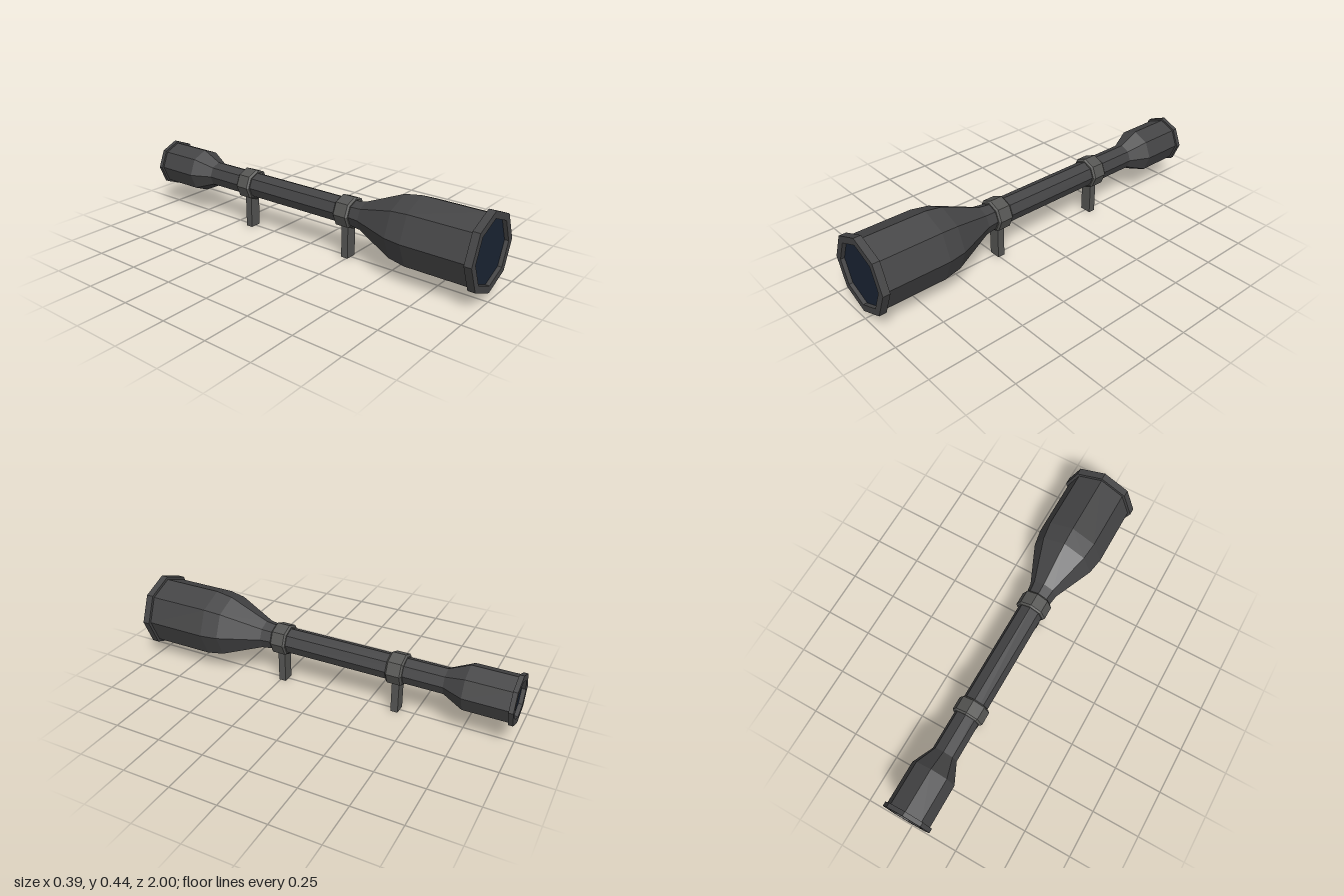
import * as THREE from 'three';

const AXIS_Y = 0.24; // height of the optical axis

const material = (color) => new THREE.MeshStandardMaterial({ color, flatShading: true });

// Eight-sided turned part along z; profile is [radius, z] from back to front
function turned(name, profile, mat) {
  const points = profile.map(([r, z]) => new THREE.Vector2(r, z));
  const geometry = new THREE.LatheGeometry(points, 8).rotateX(Math.PI / 2);
  const mesh = new THREE.Mesh(geometry, mat);
  mesh.name = name;
  mesh.position.y = AXIS_Y;
  return mesh;
}

export function createModel() {
  const group = new THREE.Group();
  group.name = 'scope';
  const bodyMat = material(0x444445);
  const mountMat = material(0x555553);
  const lensMat = material(0x1a2434);

  // Body: eyepiece, tube and objective bell, with recessed rims at both ends
  group.add(turned('body', [
    [0.095, -0.98], [0.095, -1], [0.128, -1], [0.128, -0.977], [0.117, -0.977],
    [0.117, -0.755], [0.067, -0.65], [0.067, 0.28], [0.075, 0.34],
    [0.165, 0.55], [0.18, 0.64], [0.18, 0.963], [0.196, 0.963], [0.196, 1],
    [0.16, 1], [0.16, 0.98],
  ], bodyMat));

  // Lenses
  for (const [name, radius, z, turn] of [
    ['frontLens', 0.16, 0.98, 0],
    ['rearLens', 0.095, -0.98, Math.PI],
  ]) {
    const lens = new THREE.Mesh(new THREE.CircleGeometry(radius, 8), lensMat);
    lens.name = name;
    lens.position.set(0, AXIS_Y, z);
    lens.rotation.y = turn;
    group.add(lens);
  }

  // Mounts: chamfered ring around the tube on a flat post
  for (const [name, z] of [['frontMount', 0.238], ['rearMount', -0.402]]) {
    const mount = new THREE.Group();
    mount.name = name;
    mount.position.z = z;
    mount.add(turned('ring', [
      [0.064, -0.043], [0.074, -0.043], [0.083, -0.034],
      [0.083, 0.034], [0.074, 0.043], [0.064, 0.043],
    ], mountMat));
    const post = new THREE.Mesh(new THREE.BoxGeometry(0.062, 0.175, 0.038), mountMat);
    post.name = 'post';
    post.position.y = 0.0875;
    mount.add(post);
    group.add(mount);
  }

  return group;
}
